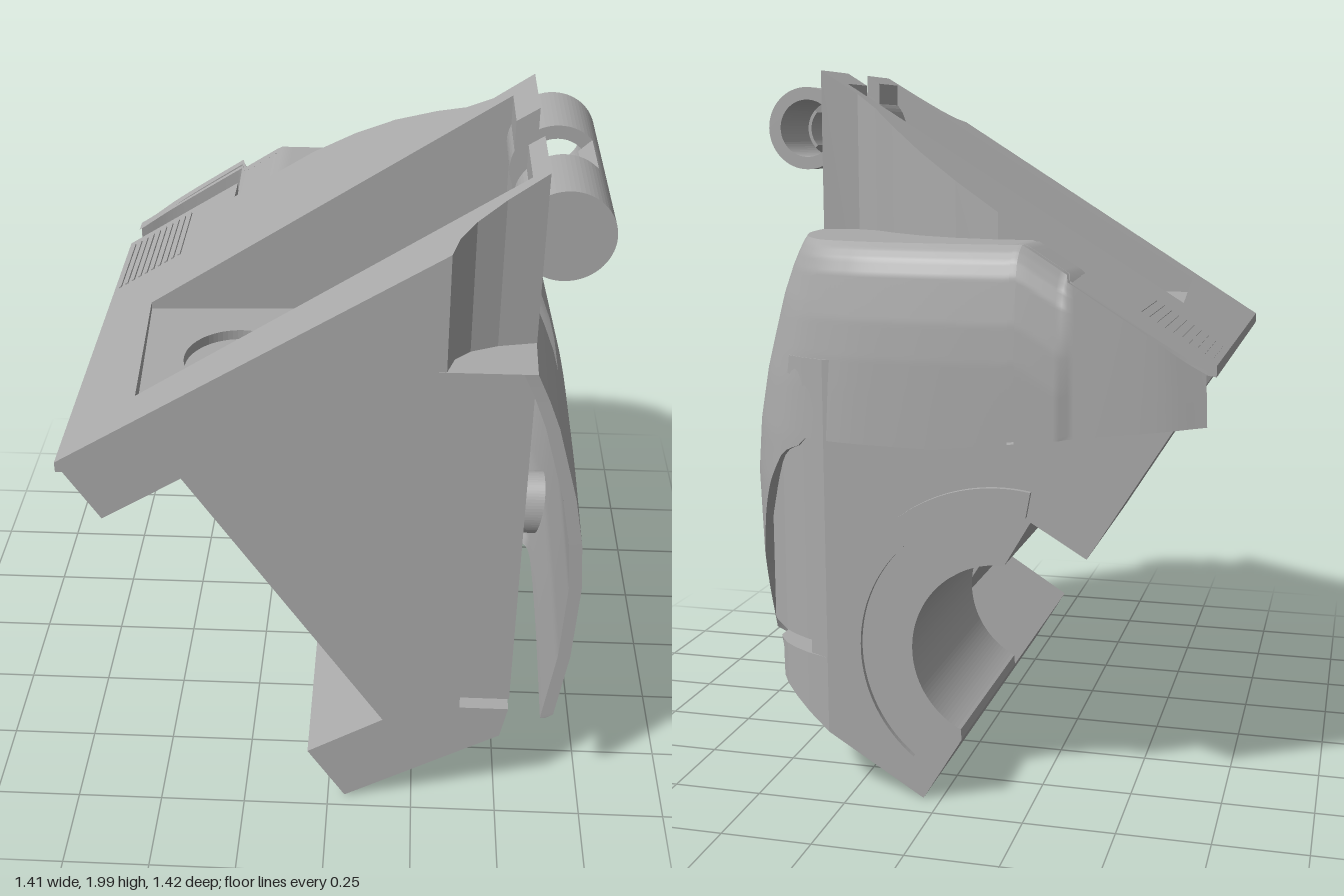
import * as THREE from 'three';

const plane = (x) => 1.22 + 0.629 * (x + 0.71);   // sloping top face
const base = (x) => 0.01 + 0.607 * (x - 0.05);    // sloping underside
const V2 = (p) => new THREE.Vector2(p[0], p[1]);

// Linear interpolation in a small [key, value] table
function lookup(table, k) {
  if (k <= table[0][0]) return table[0][1];
  for (let i = 1; i < table.length; i++) {
    const [a, va] = table[i - 1], [b, vb] = table[i];
    if (k <= b) return va + (vb - va) * (k - a) / (b - a);
  }
  return table[table.length - 1][1];
}

// Grid surface from f(u, v) -> Vector3, leaving out cells where skip(centre) holds
function grid(f, nu, nv, skip = () => false) {
  const pts = [], index = [];
  for (let i = 0; i <= nu; i++) for (let j = 0; j <= nv; j++) pts.push(f(i / nu, j / nv));
  for (let i = 0; i < nu; i++) for (let j = 0; j < nv; j++) {
    const a = i * (nv + 1) + j, b = a + nv + 1;
    if (skip(pts[a].clone().add(pts[b + 1]).multiplyScalar(0.5))) continue;
    index.push(a, b, b + 1, a, b + 1, a + 1);
  }
  const g = new THREE.BufferGeometry().setFromPoints(pts);
  g.setIndex(index);
  g.computeVertexNormals();
  return g;
}

// Extrude an x-y outline between two z values
function slab(points, z0, z1, steps = 1) {
  const s = points instanceof THREE.Shape ? points : new THREE.Shape(points.map(V2));
  const g = new THREE.ExtrudeGeometry(s, { depth: z1 - z0, bevelEnabled: false, steps, curveSegments: 32 });
  return g.translate(0, 0, z0);
}

// Extrude an x-z plan upwards from y = 0 to h
function upright(points, h, hole) {
  const s = new THREE.Shape(points.map(([x, z]) => new THREE.Vector2(x, -z)));
  if (hole) s.holes.push(hole);
  return new THREE.ExtrudeGeometry(s, { depth: h, bevelEnabled: false, curveSegments: 32 }).rotateX(-Math.PI / 2);
}

export function createModel() {
  const model = new THREE.Group();
  const grey = new THREE.MeshStandardMaterial({ color: 0xaaaaaa, side: THREE.DoubleSide });
  grey.name = 'housing grey';
  const add = (name, geo) => {
    const m = new THREE.Mesh(geo, grey);
    m.name = name;
    model.add(m);
    return m;
  };

  // Front block: stepped outline with a thin slit, grooved underneath in the middle
  const blockLeft = [[0.05, 0.01], [-0.06, 0.19], [0.16, 0.33], [-0.38, 1.18], [-0.6, 1.04], [-0.71, 1.22],
    [-0.63, 1.27], [0.52, 1.27], [0.52, 0.43], [0.38, 0.43]];
  const full = [...blockLeft, [0.38, 0.39], [0.52, 0.39], [0.5, 0.283]];
  const grooved = [...blockLeft, [0.37, 0.204]];
  add('frontWall', slab(full, 0.59, 0.71));
  add('frontBlock', slab(grooved, 0, 0.59));
  add('innerWall', slab(full, -0.05, 0));

  // Upper walls around the open tray, cut off by the sloping plane
  const walls = upright([[-0.71, 0.71], [0.3, 0.71], [0.32, 0.65], [0.36, 0.61], [0.43, 0.58], [0.53, 0.56],
    [0.53, 0.34], [0.49, 0.34], [0.49, 0.53], [-0.51, 0.575], [-0.55, 0.04], [0.47, -0.015], [0.47, 0.16],
    [0.53, 0.16], [0.53, -0.08], [0.42, -0.07], [0.35, -0.11], [0.27, -0.2], [0.15, -0.31], [0.03, -0.38],
    [-0.1, -0.42], [-0.35, -0.42], [-0.35, -0.52], [-0.71, -0.52]], 1);
  const wp = walls.attributes.position;
  for (let i = 0; i < wp.count; i++) {
    const top = plane(wp.getX(i));
    wp.setY(i, wp.getY(i) > 0.5 ? top : Math.min(1.25, top - 0.03));
  }
  walls.computeVertexNormals();
  add('trayWalls', walls);
  add('frontShoulder', new THREE.BoxGeometry(0.24, 0.28, 0.13).translate(0.4, 1.39, 0.645));

  // Tray floor with a round recess
  const floorHole = new THREE.Path().absarc(-0.27, -0.3, 0.15, 0, Math.PI * 2, true);
  add('trayFloor', upright([[-0.58, 0], [0.52, -0.04], [0.52, 0.58], [-0.56, 0.6]], 0.03, floorHole).translate(0, 1.27, 0));

  // Outer shell: plan path swept over the height with an inward curve
  const path = new THREE.CatmullRomCurve3([[0.69, 0.71], [0.7, 0.3], [0.7, 0], [0.69, -0.15], [0.66, -0.3],
    [0.58, -0.48], [0.47, -0.6], [0.3, -0.67], [0.1, -0.7], [-0.2, -0.71], [-0.6, -0.7], [-0.71, -0.68]]
    .map(([x, z]) => new THREE.Vector3(x, 0, z)));
  const sideInset = [[0.28, 0.05], [0.38, 0.04], [0.6, 0.01], [0.85, 0], [1, 0.012], [1.15, 0.04], [1.37, 0.1], [1.45, 0.13], [1.53, 0.165]];
  const backInset = [[0, 0.09], [0.015, 0.06], [0.04, 0.035], [0.08, 0.02], [0.2, 0.005], [0.3, 0]];
  const lowEdge = [[-0.66, 1], [-0.6, 0.95], [-0.5, 0.75], [-0.4, 0.5], [-0.3, 0.28], [-0.1, 0.35], [0, 0.37], [0.71, 0.36]];
  const topOf = (x) => Math.min(1.53, plane(x));
  const shell = (thick) => (u, v) => {
    const p = path.getPointAt(u), t = path.getTangentAt(u);
    const nx = -t.z, nz = t.x;                      // outward normal
    const y1 = topOf(p.x);
    const y0 = p.x < 0.4 && p.z < -0.6 ? Math.min(1 + Math.max(0, -p.x) * 0.12, y1 - 0.1) : lookup(lowEdge, p.z);
    const y = y0 + (y1 - y0) * (1 - (1 - v) ** 1.3);
    const back = p.x < -0.35 ? 0.01 : lookup(backInset, y1 - y);
    let x = p.x - nx * (lookup(sideInset, y) + thick);
    const z = p.z + Math.abs(nz) * (back + thick);
    if (y < 0.4) x = Math.min(x, 0.05 + (y - 0.01) / 0.607);
    return new THREE.Vector3(x, y, z);
  };
  const inSlot = (p) => p.z > 0.16 && p.z < 0.34 && p.y > 1.31;
  const inPort = (p) => p.x > 0.4 && ((p.z + 0.065) / 0.075) ** 2 + ((p.y - 0.55) / 0.1) ** 2 < 1;
  const open = (p) => inSlot(p) || inPort(p);
  const outer = shell(0), inner = shell(0.035);
  add('outerShell', grid(outer, 150, 60, (p) => open(p) || (p.z < -0.5 && Math.abs(p.x + 0.2) < 0.009)));
  add('shellLining', grid((u, v) => inner(1 - u, v), 150, 60, open));
  const rim = (name, at) => add(name, grid((u, v) => inner(...at(u)).lerp(outer(...at(u)), v), 100, 1, inSlot));
  rim('shellLowerRim', (u) => [u, 0]);
  rim('shellFrontRim', (u) => [0, u]);
  rim('shellEndRim', (u) => [1, u]);

  // Flat shoulder joining the shell to the tray walls
  add('shellTop', grid((u, v) => {
    const p = outer(u, 1), q = p.clone();
    if (p.z > 0.56) q.x = 0.28;
    else if (p.z > -0.07) q.x = 0.5;
    else if (p.x > -0.35) { q.x = Math.min(p.x, 0.2); q.z = Math.max(p.z, -0.2); }
    else q.z = p.z + 0.05;
    const r = p.clone().lerp(q, v);
    if (v > 0) r.y = Math.min(1.53, plane(r.x) - 0.008);
    return r;
  }, 150, 1, (p) => p.z > 0.16 && p.z < 0.34));

  // Oval port in the shell
  const oval = new THREE.Shape().absellipse(0, 0, 0.083, 0.11, 0, Math.PI * 2);
  oval.holes.push(new THREE.Path().absellipse(0, 0, 0.073, 0.098, 0, Math.PI * 2, true));
  add('sidePort', slab(oval, 0, 0.17).rotateY(Math.PI / 2).translate(0.52, 0.55, -0.065));

  // Rear drum housing with a round bite, its side following the shell's rounded corner
  const drumShape = new THREE.Shape([[0.05, 0.01], [0.5, 0.283], [0.52, 0.39], [0.38, 0.39], [0.38, 0.43], [0.58, 0.43],
    [0.6, 0.6], [0.59, 0.8], [0.52, 1], [0.45, 1.22], [-0.57, 1.22], [-0.65, 1.12], [-0.6, 1.04], [-0.4, 0.72],
    [-0.25, 0.81], [-0.18, 0.69]].map(V2));
  drumShape.absarc(-0.17, 0.44, 0.248, 1.6, -1.1, true);
  drumShape.lineTo(-0.06, 0.19);
  const drum = slab(drumShape, -0.665, -0.05, 20);
  const sideLimit = [[-0.67, 0.31], [-0.65, 0.36], [-0.62, 0.42], [-0.57, 0.48], [-0.48, 0.55], [-0.3, 0.62]];
  const dp = drum.attributes.position;
  for (let i = 0; i < dp.count; i++) {
    const x = dp.getX(i), limit = lookup(sideLimit, dp.getZ(i));
    if (x <= limit) continue;
    dp.setX(i, limit);
    if (dp.getY(i) < 0.3) dp.setY(i, base(limit));
  }
  drum.computeVertexNormals();
  add('drumHousing', drum);

  // Raised ring on the drum's back
  const ring = new THREE.Shape();
  ring.absarc(-0.17, 0.44, 0.46, -0.9, 1.75, false);
  ring.absarc(-0.17, 0.44, 0.39, 1.75, -0.9, true);
  add('drumRing', slab(ring, -0.68, -0.66));

  // Hinge barrel: solid front knuckle, hollow back knuckle, thin bridge between
  const barrel = (name, r0, a0, a1, z0, z1) => {
    const s = new THREE.Shape();
    s.absarc(0, 0, 0.122, a0, a1, false);
    if (r0 && a1 - a0 < 6) s.absarc(0, 0, r0, a1, a0, true);
    else if (r0) s.holes.push(new THREE.Path().absarc(0, 0, r0, 0, Math.PI * 2, true));
    add(name, slab(s, z0, z1).translate(0.582, 1.83, 0));
  };
  barrel('frontKnuckle', 0, 0, Math.PI * 2, 0.34, 0.555);
  barrel('backKnuckle', 0.085, 0, Math.PI * 2, -0.07, 0.16);
  barrel('hingeBridge', 0.075, -0.75, 0.75, 0.16, 0.34);

  // Vent ribs on the sloping top and the underside
  const ribs = (name, count, x0, x1, height, tilt) => {
    for (let i = 0; i < count; i++) {
      const x = x0 + (x1 - x0) * i / (count - 1);
      const m = add(name, new THREE.BoxGeometry(0.01, 0.008, 0.28));
      m.position.set(x, height(x), -0.34);
      m.rotation.z = tilt;
    }
  };
  ribs('topVentRib', 10, -0.69, -0.5, plane, 0.562);
  ribs('bottomVentRib', 9, 0.08, 0.26, base, 0.546);
  return model;
}
